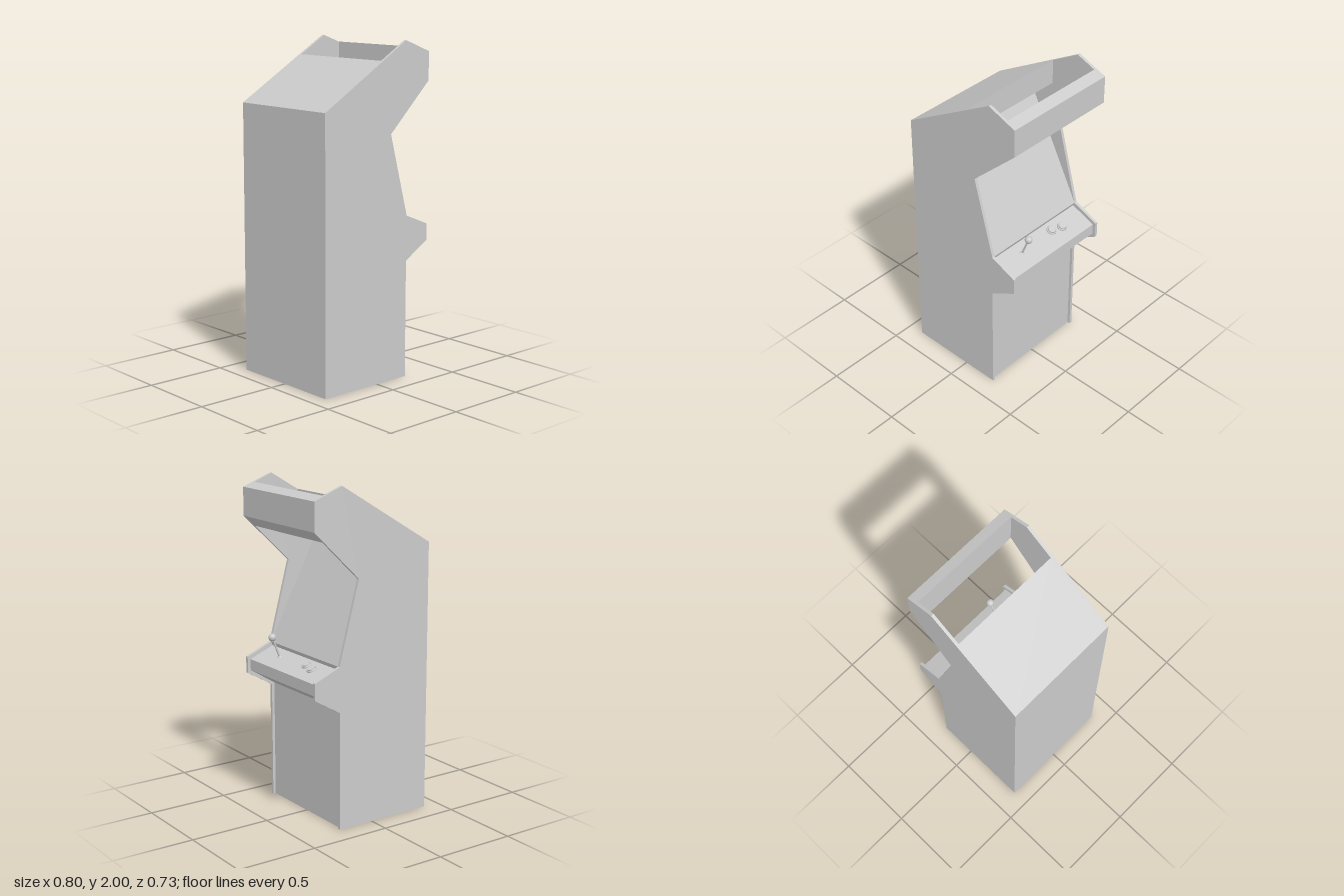
import * as THREE from 'three';

const material = new THREE.MeshStandardMaterial({ color: 0xcccccc });

function add(parent, name, geometry, x = 0, y = 0, z = 0) {
  const mesh = new THREE.Mesh(geometry, material);
  mesh.name = name;
  mesh.position.set(x, y, z);
  parent.add(mesh);
  return mesh;
}

// Extrudes an x/y profile from z0 to z1
function slab(points, z0, z1) {
  const shape = new THREE.Shape(points.map(([x, y]) => new THREE.Vector2(x, y)));
  return new THREE.ExtrudeGeometry(shape, { depth: z1 - z0, bevelEnabled: false }).translate(0, 0, z0);
}

function lathe(points, segments = 32) {
  return new THREE.LatheGeometry(points.map(([r, y]) => new THREE.Vector2(r, y)), segments);
}

export function createModel() {
  const model = new THREE.Group();
  model.name = 'arcadeCabinet';
  const outer = 0.365, inner = 0.347;

  // Side panels
  const sideProfile = [
    [-0.4, 0], [0.23, 0], [0.23, 0.71], [0.4, 0.81], [0.4, 0.91], [0.232, 0.98],
    [0.1, 1.47], [0.4, 1.76], [0.4, 1.93], [0.215, 2], [-0.4, 1.63],
  ];
  add(model, 'leftSidePanel', slab(sideProfile, inner, outer));
  add(model, 'rightSidePanel', slab(sideProfile, -outer, -inner));

  // Body between the sides: front, control deck, sloping screen, upper beam, roof and back
  add(model, 'body', slab([
    [-0.4, 0], [0.213, 0], [0.213, 0.72], [0.38, 0.825], [0.38, 0.893], [0.222, 0.956],
    [0.232, 0.98], [-0.106, 1.627], [-0.106, 1.74], [0.034, 1.74], [0.034, 1.891], [-0.4, 1.63],
  ], -inner, inner));

  // Marquee box at the top front
  add(model, 'marquee', slab([[0.335, 1.697], [0.4, 1.76], [0.4, 1.93], [0.335, 1.955]], -inner, inner));

  // Controls, tilted with the deck
  const controls = new THREE.Group();
  controls.name = 'controls';
  controls.position.set(0.285, 0.931, 0);
  controls.rotation.z = -0.38;
  model.add(controls);

  const stickZ = 0.173;
  add(controls, 'joystickCollar', lathe([[0.015, 0], [0.012, 0.004], [0.006, 0.006]], 24), 0, 0, stickZ);
  add(controls, 'joystickShaft', new THREE.CylinderGeometry(0.006, 0.006, 0.135, 20), 0, 0.0675, stickZ);
  add(controls, 'joystickBall', new THREE.SphereGeometry(0.023, 32, 20), 0, 0.135, stickZ);

  // Push buttons: rounded rim with a plunger inside
  for (const [x, z] of [[0.004, -0.17], [-0.013, -0.095]]) {
    const button = new THREE.Group();
    button.name = 'button';
    button.position.set(x, 0, z);
    controls.add(button);
    add(button, 'buttonRim', lathe([[0.031, 0], [0.031, 0.005], [0.029, 0.009], [0.026, 0.01], [0.024, 0.008], [0.023, 0.004]]));
    add(button, 'buttonPlunger', new THREE.CylinderGeometry(0.022, 0.023, 0.014, 32), 0, 0.007, 0);
  }
  return model;
}
